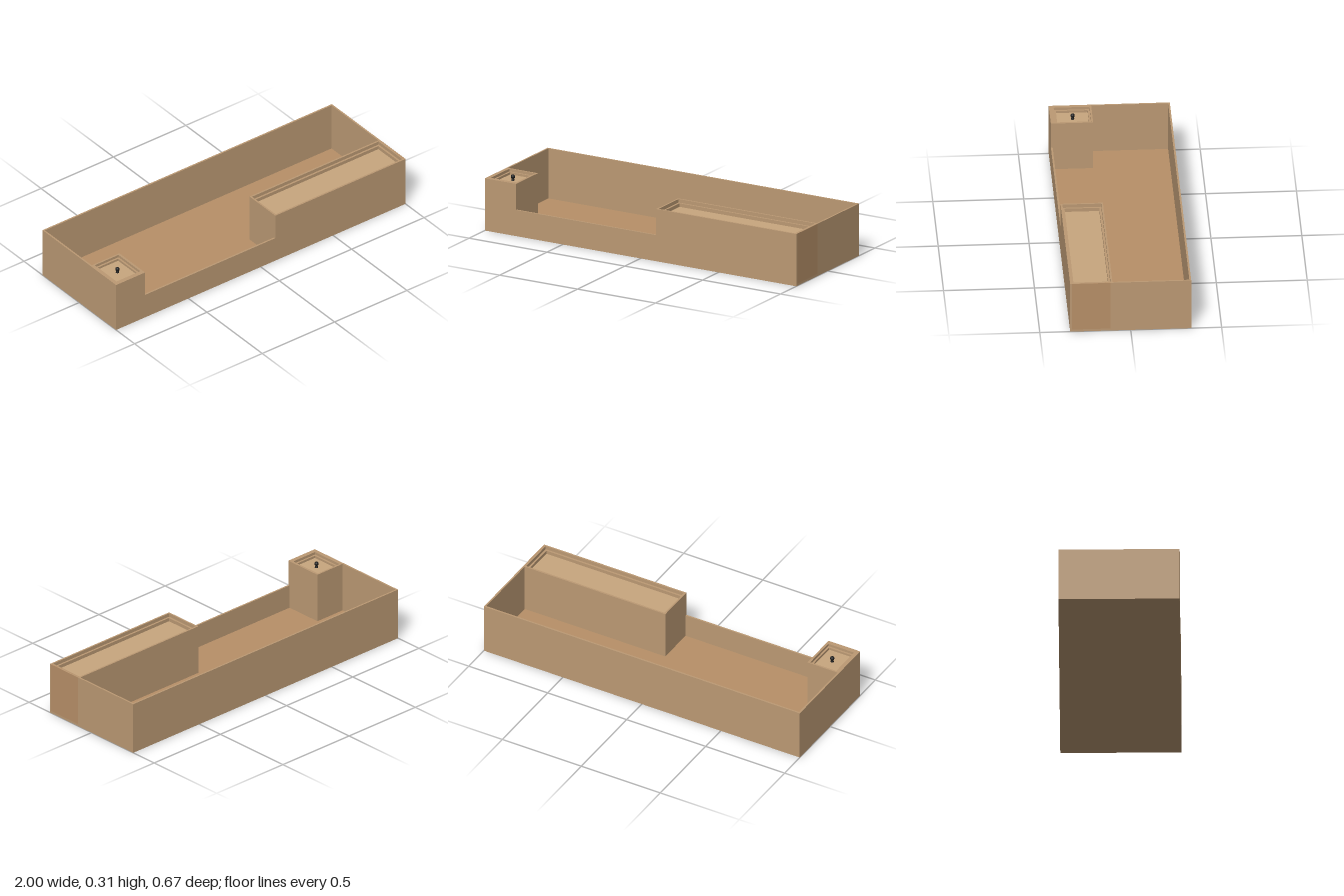
import * as THREE from 'three';

const wood = new THREE.MeshStandardMaterial({ color: 0xbc9a74 });
const liner = new THREE.MeshStandardMaterial({ color: 0xb89068 });
const lidWood = new THREE.MeshStandardMaterial({ color: 0xc8a67e });
const dark = new THREE.MeshStandardMaterial({ color: 0x1c1c1c });

const W = 1, D = 0.333, H = 0.3, T = 0.01, FLOOR = 0.013;

// box given by its limits on each axis
function box(name, material, [x0, x1], [y0, y1], [z0, z1]) {
  const mesh = new THREE.Mesh(new THREE.BoxGeometry(x1 - x0, y1 - y0, z1 - z0), material);
  mesh.position.set((x0 + x1) / 2, (y0 + y1) / 2, (z0 + z1) / 2);
  mesh.name = name;
  return mesh;
}

// closed rectangle in plan; z is negated because the extrusion is laid flat
function rectangle(Type, [x0, x1], [z0, z1]) {
  return new Type([[x0, -z1], [x1, -z1], [x1, -z0], [x0, -z0]].map(p => new THREE.Vector2(...p)));
}

// horizontal frame with a rectangular opening
function frame(name, xs, zs, holeX, holeZ, [y0, y1]) {
  const shape = rectangle(THREE.Shape, xs, zs);
  shape.holes.push(rectangle(THREE.Path, holeX, holeZ));
  const geometry = new THREE.ExtrudeGeometry(shape, { depth: y1 - y0, bevelEnabled: false });
  geometry.rotateX(-Math.PI / 2).translate(0, y0, 0);
  const mesh = new THREE.Mesh(geometry, wood);
  mesh.name = name;
  return mesh;
}

// compartment with a raised rim, a stepped ledge and a recessed lid
function compartment(name, xs, zs, holeX, holeZ, ledgeY, lidY) {
  const group = new THREE.Group();
  group.name = name;
  const step = 0.011;
  const innerX = [holeX[0] + step, holeX[1] - step];
  const innerZ = [holeZ[0] + step, holeZ[1] - step];
  group.add(
    frame('rim', xs, zs, holeX, holeZ, [FLOOR, H]),
    frame('ledge', holeX, holeZ, innerX, innerZ, [FLOOR, ledgeY]),
    box('lid', lidWood, innerX, [lidY - 0.015, lidY], innerZ)
  );
  return group;
}

export function createModel() {
  const model = new THREE.Group();
  model.name = 'dividedTray';

  // base and three full-height walls
  model.add(
    box('floor', liner, [-W + T, W - T], [0.002, FLOOR], [-D + T, D - T]),
    box('underside', wood, [-W, W], [0, 0.01], [-D, D]),
    box('backWall', wood, [-W, W], [0, H], [-D, -D + T])
  );
  for (const s of [-1, 1]) {
    const x = s * (W - T / 2);
    model.add(box('endWall', wood, [x - T / 2, x + T / 2], [0, H], [-D, D]));
  }

  // front wall, cut down to half height between the compartments
  const front = new THREE.Shape([
    [-W, 0], [W, 0], [W, H], [0.1, H], [0.1, 0.15], [-0.8, 0.15], [-0.8, H], [-W, H]
  ].map(p => new THREE.Vector2(...p)));
  const frontWall = new THREE.Mesh(
    new THREE.ExtrudeGeometry(front, { depth: T, bevelEnabled: false }), wood);
  frontWall.position.z = D - T;
  frontWall.name = 'frontWall';
  model.add(frontWall);

  // long compartment, with its end panel showing on the outside
  model.add(
    compartment('longCompartment', [0.1, W - 0.001], [0.1, D - 0.001],
      [0.11, 0.985], [0.11, 0.323], 0.28, 0.26),
    box('endPanel', liner, [W - T, W + 0.0005], [FLOOR, H], [0.11, 0.322])
  );

  // small compartment with a knob on its lid
  model.add(compartment('smallCompartment', [-W + 0.001, -0.8], [0.1, D - 0.001],
    [-0.977, -0.813], [0.11, 0.307], 0.285, 0.272));

  const knob = new THREE.Group();
  knob.name = 'knob';
  const ball = new THREE.Mesh(new THREE.SphereGeometry(0.012, 24, 16), dark);
  ball.position.y = 0.294;
  ball.name = 'knobBall';
  const stem = new THREE.Mesh(new THREE.CylinderGeometry(0.005, 0.01, 0.016, 20), dark);
  stem.position.y = 0.279;
  stem.name = 'knobStem';
  knob.add(ball, stem);
  knob.position.set(-0.895, 0, 0.208);
  model.add(knob);

  return model;
}
